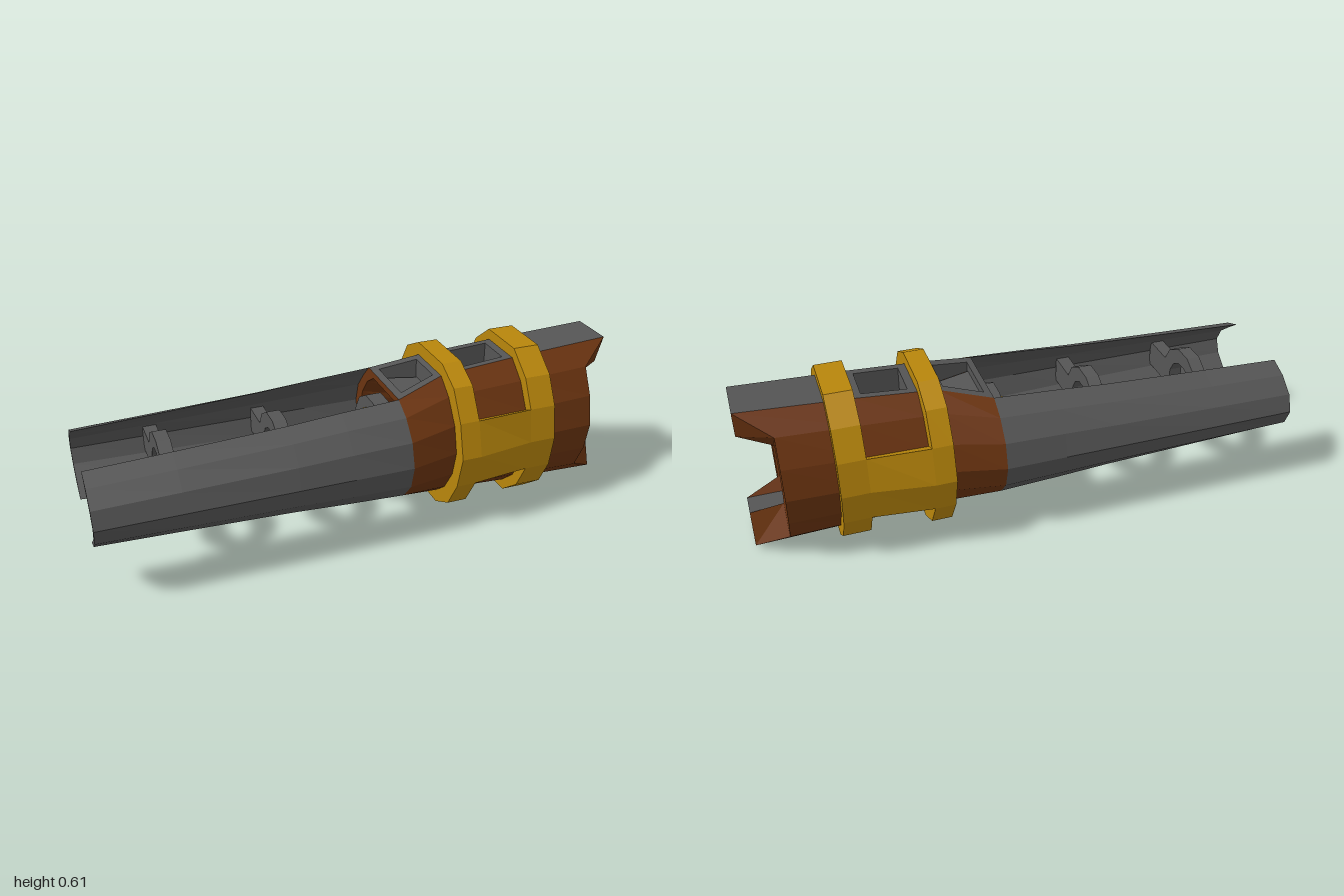
import * as THREE from 'three';

const CY = 0.307; // height of the long axis, which runs along x

function mat(color, flatShading = true) {
  return new THREE.MeshStandardMaterial({ color, flatShading, side: THREE.DoubleSide });
}
const grey = mat(0x555555), brown = mat(0x6b3410), gold = mat(0xb8860b), red = mat(0xe01020);
const goldSmooth = mat(0xb8860b, false);

// collects quads into one flat-shaded mesh
class Quads {
  constructor() { this.pos = []; }
  add(a, b, c, d) {
    for (const p of [a, b, c, a, c, d]) this.pos.push(p.x, p.y, p.z);
  }
  mesh(name, material) {
    const g = new THREE.BufferGeometry();
    g.setAttribute('position', new THREE.Float32BufferAttribute(this.pos, 3));
    g.computeVertexNormals();
    const m = new THREE.Mesh(g, material);
    m.name = name;
    return m;
  }
}

// 14-sided section from a quarter of [z, y] points running from the top flat to the side;
// the top flat may sit at its own x
function section(x, q, k = 1, tipX = x) {
  const half = [0, 1, 2, 3, 2, 1, 0].map((i, n) => [i ? x : tipX, q[i][1] * (n > 3 ? -1 : 1) * k, q[i][0] * k]);
  const other = half.map(([px, y, z]) => [px, -y, -z]);
  return [...half, ...other].map(p => new THREE.Vector3(...p));
}

// walks over the quads between successive sections, joining the last to the first
function eachQuad(rings, segs, fn) {
  rings.forEach((r, i) => {
    const s = rings[(i + 1) % rings.length];
    for (const j of segs) {
      const n = (j + 1) % r.length;
      fn(r[j], r[n], s[n], s[j], i, j);
    }
  });
}
const ALL = [...Array(14).keys()];

function mixQ(a, b, t) {
  return a.map((p, i) => [p[0] + (b[i][0] - p[0]) * t, p[1] + (b[i][1] - p[1]) * t]);
}

export function createModel() {
  const model = new THREE.Group();

  // thick body with a forked muzzle, grey spine strips and sunken red windows
  const back = [[0.145, 0.2], [0.215, 0.16], [0.275, 0.09], [0.3, 0]];
  const neck = [[0.1, 0.245], [0.17, 0.19], [0.23, 0.1], [0.255, 0]];
  const front = [[0.085, 0.285], [0.163, 0.213], [0.213, 0.113], [0.237, 0]];
  const bore = [[0.045, 0.166], [0.08, 0.125], [0.105, 0.06], [0.113, 0]];
  const boreBack = [[0.1, 0.175], [0.16, 0.135], [0.21, 0.07], [0.235, 0]];
  const bodyRings = [
    section(0.12, back),
    section(0.31, neck),
    section(0.38, mixQ(neck, front, 0.12)),
    section(0.6, mixQ(neck, front, 0.5)),
    section(0.88, front, 1, 1),
    section(0.88, bore, 1, 1),
    section(0.36, bore),
    section(0.12, boreBack),
  ];
  const hull = new Quads(), strip = new Quads(), panes = new Quads();
  eachQuad(bodyRings, ALL, (a, b, c, d, i, j) => {
    const isStrip = j === 6 || j === 13;
    if (!isStrip || i === 7) return hull.add(a, b, c, d);
    if (i !== 0 && i !== 2) return strip.add(a, b, c, d);
    // window: frame, sunken walls and red floor
    const outer = [a, b, c, d];
    const mid = new THREE.Vector3().add(a).add(b).add(c).add(d).multiplyScalar(0.25);
    const rim = outer.map(p => p.clone().lerp(mid, 0.27));
    const floor = rim.map(p => new THREE.Vector3(p.x, Math.sign(p.y) * 0.153, p.z));
    for (let k = 0; k < 4; k++) {
      const n = (k + 1) % 4;
      strip.add(outer[k], outer[n], rim[n], rim[k]);
      strip.add(rim[k], rim[n], floor[n], floor[k]);
    }
    panes.add(...floor);
  });
  model.add(hull.mesh('body', brown), strip.mesh('spineStrips', grey), panes.mesh('windows', red));

  // gold bands and the side plates joining them
  const band1 = [[0.105, 0.293], [0.207, 0.24], [0.275, 0.13], [0.31, 0]];
  const band2 = [[0.1, 0.305], [0.2, 0.228], [0.256, 0.125], [0.278, 0]];
  const hoop = (xa, qa, xb, qb) =>
    [section(xa, qa), section(xb, qb), section(xb, qb, 0.8), section(xa, qa, 0.8)];
  const addBand = (name, rings) => {
    const q = new Quads();
    eachQuad(rings, ALL, (a, b, c, d) => q.add(a, b, c, d));
    model.add(q.mesh(name, gold));
  };
  addBand('rearBand', hoop(0.305, band1, 0.38, band1));
  addBand('frontBand', hoop(0.6, band2, 0.7, band2));
  const plateRings = hoop(0.38, band1, 0.6, band2);
  for (const [name, s] of [['leftPlate', 2], ['rightPlate', 9]]) {
    const q = new Quads();
    eachQuad(plateRings, [s, s + 1], (a, b, c, d) => q.add(a, b, c, d));
    q.add(...plateRings.map(r => r[s]));
    q.add(...plateRings.map(r => r[s + 2]));
    model.add(q.mesh(name, gold));
  }

  // two long curved shells, thinning to their upper and lower edges
  const stations = [[-1, 0.14], [-0.7, 0.153], [-0.3, 0.172], [-0.1, 0.187], [0.12, 0.2]];
  const shellRing = ([x, h], inset) => section(x, back.map(([z, y], i) =>
    [z - (i ? inset : 0), y * h / 0.2 - (i === 1 || i === 2 ? inset * 0.6 : 0)]));
  const shellRings = [
    ...stations.map(s => shellRing(s, 0)),
    ...stations.slice().reverse().map(s => shellRing(s, 0.018)),
  ];
  for (const [name, s] of [['leftShell', 0], ['rightShell', 7]]) {
    const q = new Quads();
    eachQuad(shellRings, ALL.slice(s, s + 6), (a, b, c, d) => q.add(a, b, c, d));
    model.add(q.mesh(name, grey));
  }

  // twelve-sided rings along the axis, the outer two held by side brackets
  function ring(name, x, r, hole, w) {
    const profile = [[hole, -w], [r, -w], [r, w], [hole, w], [hole, -w]];
    const g = new THREE.LatheGeometry(profile.map(p => new THREE.Vector2(p[0], p[1] / 2)), 12);
    g.rotateY(Math.PI / 12).rotateZ(Math.PI / 2);
    const m = new THREE.Mesh(g, grey);
    m.name = name;
    m.position.x = x;
    model.add(m);
  }
  ring('coneRing', 0.095, 0.148, 0.1, 0.06);
  for (const x of [-0.71, -0.295]) {
    ring('supportRing', x, 0.148, 0.09, 0.05);
    for (const side of [1, -1]) {
      const b = new THREE.Mesh(new THREE.BoxGeometry(0.05, 0.1, 0.14), grey);
      b.name = 'bracket';
      b.position.set(x, 0, side * 0.2);
      model.add(b);
    }
  }

  // hollow cone pointing back between the shells
  const cone = new THREE.Mesh(new THREE.ConeGeometry(0.105, 0.2, 12, 1, true), goldSmooth);
  cone.name = 'cone';
  cone.geometry.rotateY(Math.PI / 12).rotateZ(Math.PI / 2);
  cone.position.x = -0.03;
  model.add(cone);

  for (const part of model.children) part.position.y += CY;
  return model;
}
